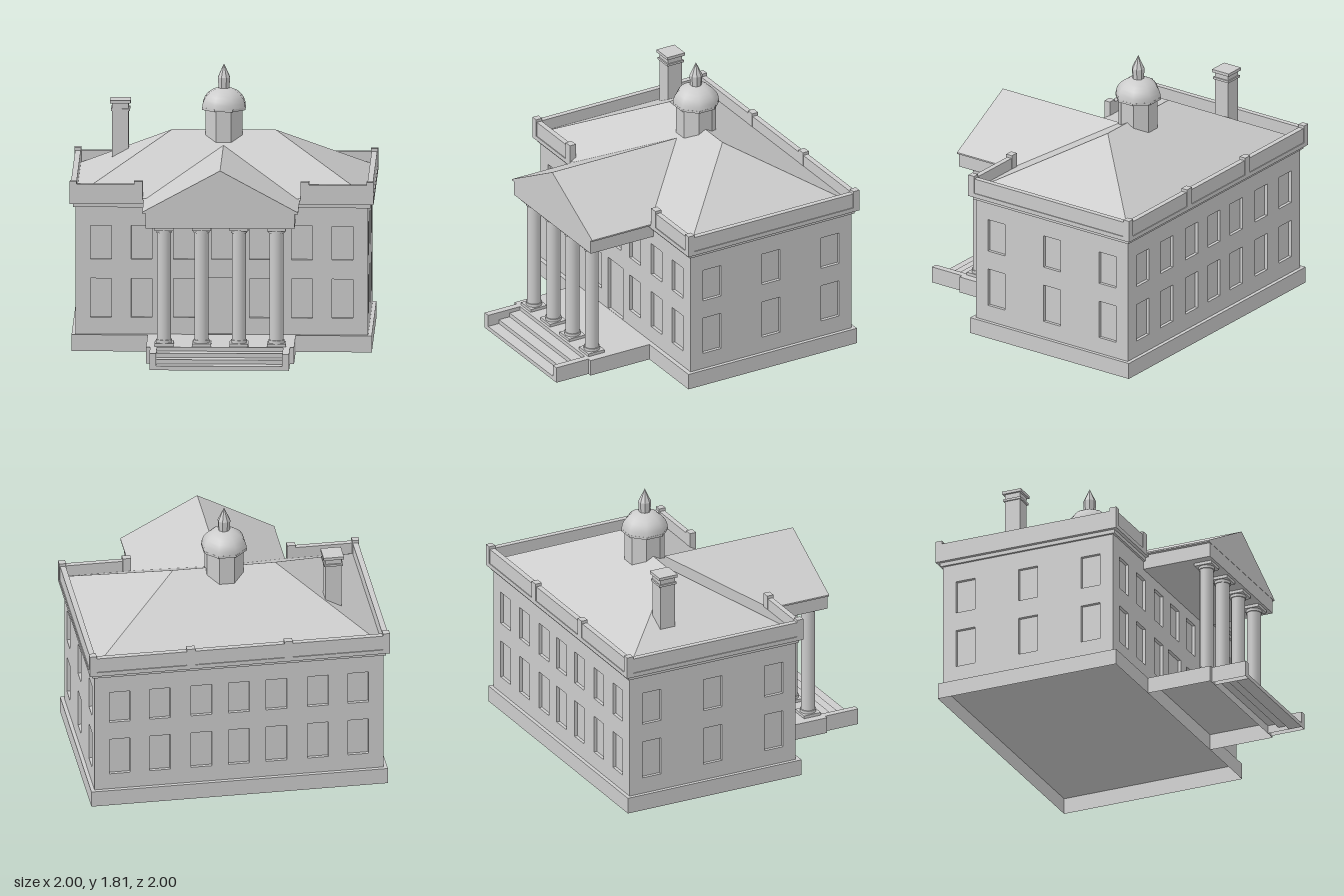
import * as THREE from 'three';

export function createModel() {
  const model = new THREE.Group();
  const stone = new THREE.MeshStandardMaterial({ color: 0xcccccc, side: THREE.DoubleSide });
  stone.name = 'grey stone';
  const ZC = -0.345; // depth of the main block's centre

  function add(name, geometry, parent = model) {
    const mesh = new THREE.Mesh(geometry, stone);
    mesh.name = name;
    parent.add(mesh);
    return mesh;
  }
  // Box given by its extents
  function box(name, x0, x1, y0, y1, z0, z1, parent = model) {
    const g = new THREE.BoxGeometry(x1 - x0, y1 - y0, z1 - z0);
    g.translate((x0 + x1) / 2, (y0 + y1) / 2, (z0 + z1) / 2);
    return add(name, g, parent);
  }
  // Box without its bottom face
  function openBox(name, ...extents) {
    const g = box(name, ...extents).geometry;
    const index = Array.from(g.index.array);
    index.splice(18, 6);
    g.setIndex(index);
    g.clearGroups();
  }
  // Square block around a vertical axis
  const block = (name, h, y0, y1, parent) => box(name, -h, h, y0, y1, -h, h, parent);
  // Eight-sided turned part, flat faces towards the axes
  function octagon(name, points, parent, flat = true) {
    let g = new THREE.LatheGeometry(points.map(p => new THREE.Vector2(p[0], p[1])), 8, Math.PI / 8);
    if (flat) {
      g = g.toNonIndexed();
      g.computeVertexNormals();
    }
    return add(name, g, parent);
  }
  // Round upright drum
  function drum(name, r, y0, y1, parent) {
    const g = new THREE.CylinderGeometry(r, r, y1 - y0, 20);
    g.translate(0, (y0 + y1) / 2, 0);
    return add(name, g, parent);
  }

  // Hollow plinth and porch floor
  openBox('plinth', -0.988, 0.988, 0, 0.11, -0.988, 0.303);
  openBox('porchFloor', -0.487, 0.487, 0, 0.11, 0.303, 0.755);

  // Steps between two cheek walls
  const stairs = new THREE.Group();
  stairs.name = 'stairs';
  model.add(stairs);
  for (let i = 0; i < 3; i++) {
    box('step', -0.415, 0.415, i * 0.028, (i + 1) * 0.028, 0.91 - i * 0.0775, 1 - i * 0.0825, stairs);
  }
  for (const s of [-1, 1]) {
    const x = s * 0.4375;
    openBox('cheekWall', x - 0.0225, x + 0.0225, 0, 0.11, 0.755, 1, stairs);
  }

  // Walls with recessed openings over a plain core
  const DEPTH = 0.022, HX = 0.963, HZ = 0.617, Y0 = 0.11, Y1 = 0.96;
  box('wallCore', -HX + DEPTH, HX - DEPTH, Y0, Y1, ZC - HZ + DEPTH, ZC + HZ - DEPTH);
  function rect(target, x0, x1, y0, y1) {
    target.moveTo(x0, y0);
    target.lineTo(x1, y0);
    target.lineTo(x1, y1);
    target.lineTo(x0, y1);
    target.closePath();
    return target;
  }
  function wall(name, half, centres, hasDoor) {
    const shape = rect(new THREE.Shape(), -half, half, Y0, Y1);
    for (const c of centres) {
      const door = hasDoor && c === 0;
      const w = door ? 0.095 : 0.069;
      shape.holes.push(rect(new THREE.Path(), c - 0.069, c + 0.069, 0.611, 0.836));
      shape.holes.push(rect(new THREE.Path(), c - w, c + w, door ? 0.112 : 0.222, door ? 0.49 : 0.482));
    }
    return add(name, new THREE.ExtrudeGeometry(shape, { depth: DEPTH, bevelEnabled: false }));
  }
  const longBays = [-0.795, -0.527, -0.25, 0, 0.25, 0.527, 0.795];
  const sideBays = [-0.453, 0, 0.453];
  wall('frontWall', HX, longBays, true).position.z = ZC + HZ - DEPTH;
  const back = wall('backWall', HX, longBays, false);
  back.rotation.y = Math.PI;
  back.position.z = ZC - HZ + DEPTH;
  for (const s of [-1, 1]) {
    const side = wall(s > 0 ? 'leftWall' : 'rightWall', HZ - DEPTH, sideBays, false);
    side.rotation.y = s * Math.PI / 2;
    side.position.set(s * (HX - DEPTH), 0, ZC);
  }

  // Cornice and roof-edge slab
  box('cornice', -0.978, 0.978, 0.96, 0.986, ZC - 0.632, ZC + 0.632);
  box('roofSlab', -1, 1, 0.986, 1.015, -1, 0.31);

  // Parapet walls and posts
  const parapet = new THREE.Group();
  parapet.name = 'parapet';
  model.add(parapet);
  box('backParapet', -0.994, 0.994, 1.015, 1.116, -0.994, -0.957, parapet);
  const post = (x, z, w) => box('parapetPost', x - w / 2, x + w / 2, 1.015, 1.136, z - 0.023, z + 0.023, parapet);
  for (const s of [-1, 1]) {
    const x = s * 0.9755;
    box('sideParapet', x - 0.0185, x + 0.0185, 1.015, 1.116, -0.994, 0.304, parapet);
    const f = s * 0.765;
    box('frontParapet', f - 0.22, f + 0.22, 1.015, 1.116, 0.268, 0.304, parapet);
    post(s * 0.977, 0.287, 0.046);
    post(s * 0.977, -0.977, 0.046);
    post(s * 0.548, 0.287, 0.056);
    post(s * 0.325, -0.977, 0.056);
  }

  // Hipped roof: a box whose top is drawn in to a ridge
  const hip = new THREE.BoxGeometry(1.964, 0.348, 1.284).toNonIndexed();
  const p = hip.attributes.position;
  for (let i = 0; i < p.count; i++) {
    if (p.getY(i) > 0) {
      p.setX(i, Math.sign(p.getX(i)) * 0.34);
      p.setZ(i, 0);
    }
  }
  hip.translate(0, 1.37 - 0.174, ZC);
  hip.computeVertexNormals();
  add('hippedRoof', hip);

  // Portico: gabled roof and the beam beneath it
  const gable = new THREE.Shape([[0, 1.29], [-0.513, 1.012], [-0.513, 1.002], [0.513, 1.002], [0.513, 1.012]]
    .map(a => new THREE.Vector2(a[0], a[1])));
  const gableRoof = add('porticoRoof', new THREE.ExtrudeGeometry(gable, { depth: 0.962, bevelEnabled: false }));
  gableRoof.position.z = -0.205;
  box('porticoBeam', -0.49, 0.49, 0.904, 1.002, 0.25, 0.755);

  // Four columns
  for (const x of [-0.37, -0.123, 0.123, 0.37]) {
    const column = new THREE.Group();
    column.name = 'column';
    column.position.set(x, 0, 0.675);
    model.add(column);
    block('columnPlinth', 0.062, 0.11, 0.13, column);
    drum('columnBase', 0.053, 0.13, 0.15, column);
    drum('columnShaft', 0.046, 0.15, 0.865, column);
    drum('columnCapital', 0.053, 0.865, 0.884, column);
    block('columnAbacus', 0.062, 0.884, 0.904, column);
  }

  // Cupola: drum, dome and spire
  const cupola = new THREE.Group();
  cupola.name = 'cupola';
  cupola.position.z = ZC;
  model.add(cupola);
  octagon('cupolaDrum', [[0, 1.25], [0.132, 1.25], [0.132, 1.512], [0, 1.512]], cupola);
  octagon('domeRim', [[0, 1.51], [0.154, 1.51], [0.154, 1.526], [0, 1.526]], cupola);
  const dome = [];
  for (let i = 0; i <= 8; i++) {
    const a = i / 8 * Math.PI / 2;
    dome.push([0.153 * Math.cos(a), 1.526 + 0.128 * Math.sin(a)]);
  }
  octagon('dome', dome, cupola, false);
  octagon('spire', [[0, 1.64], [0.038, 1.64], [0.043, 1.72], [0, 1.812]], cupola);

  // Chimney
  const chimney = new THREE.Group();
  chimney.name = 'chimney';
  chimney.position.set(-0.686, 0, -0.563);
  model.add(chimney);
  block('chimneyShaft', 0.054, 1.08, 1.512, chimney);
  block('chimneyBand', 0.063, 1.462, 1.477, chimney);
  block('chimneyCap', 0.068, 1.512, 1.532, chimney);

  return model;
}
